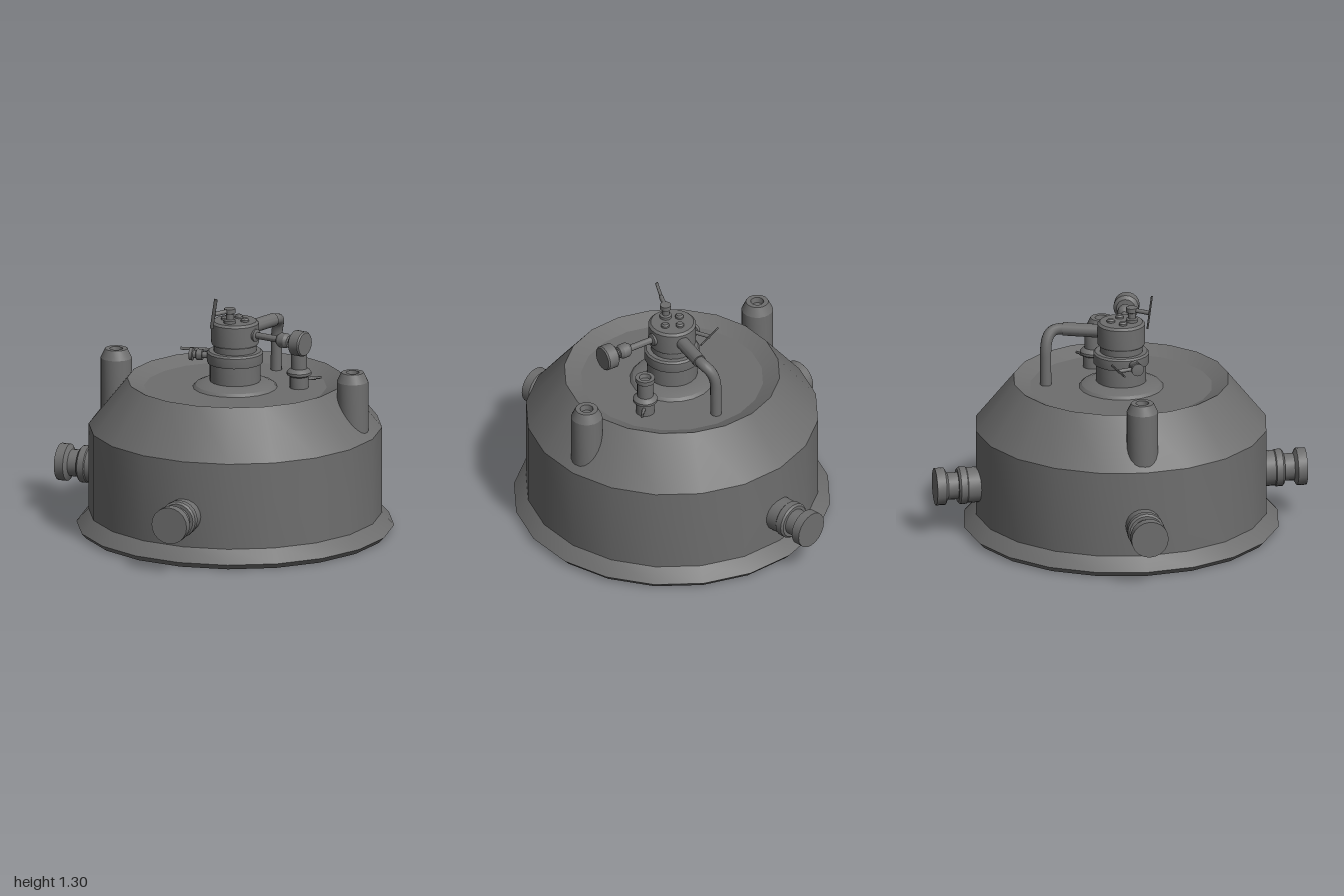
import * as THREE from 'three';
import { toCreasedNormals } from 'three/addons/utils/BufferGeometryUtils.js';

const CX = 0.075, CZ = 0.006; // axis of the vessel
const V = (x, y, z) => new THREE.Vector3(x, y, z);
const UP = V(0, 1, 0);
const material = new THREE.MeshStandardMaterial({ color: 0x6e6e6e });

function add(parent, name, geometry) {
  const mesh = new THREE.Mesh(geometry, material);
  mesh.name = name;
  parent.add(mesh);
  return mesh;
}

// Twenty-sided turned part: [radius, height] pairs from bottom to top
function turnedGeometry(profile) {
  return new THREE.LatheGeometry(profile.map(([r, y]) => new THREE.Vector2(r, y)), 20);
}

function turned(parent, name, profile) {
  return add(parent, name, toCreasedNormals(turnedGeometry(profile), 0.4));
}

// Turned part whose axis runs from a point along a direction
function turnedAlong(parent, name, profile, from, direction) {
  const mesh = turned(parent, name, profile);
  mesh.position.copy(from);
  mesh.quaternion.setFromUnitVectors(UP, direction.clone().normalize());
  return mesh;
}

function rod(parent, name, a, b, radius) {
  const d = b.clone().sub(a), l = d.length();
  return turnedAlong(parent, name, [[0, 0], [radius, 0], [radius, l], [0, l]], a, d);
}

// Rod flattened into a thin bar
function handleBar(parent, name, a, b, width) {
  rod(parent, name, a, b, width).scale.z = 0.5;
}

export function createModel() {
  const model = new THREE.Group();
  model.name = 'pressureVessel';

  // Hollow body with base flange, sloping shoulder and dished top
  turned(model, 'vesselBody', [
    [0.82, 0], [0.848, 0.03], [0.783, 0.1], [0.783, 0.57], [0.577, 0.826], [0.488, 0.785], [0, 0.785],
    [0, 0.76], [0.54, 0.76], [0.74, 0.53], [0.74, 0.215], [0.695, 0.215], [0.695, 0], [0.82, 0],
  ]).position.set(CX, 0, CZ);

  // Three side ports
  const ports = [['frontPort', V(0, 0, 1)], ['backPort', V(0, 0, -1)], ['rightPort', V(-1, 0, 0)]];
  for (const [name, dir] of ports) {
    turnedAlong(model, name, [
      [0, 0.735], [0.095, 0.735], [0.095, 0.83], [0.1, 0.835], [0.1, 0.87], [0.09, 0.88], [0.073, 0.88],
      [0.073, 0.935], [0.1, 0.95], [0.1, 1], [0, 1],
    ], V(CX, 0.27, 0), dir);
  }

  // Two shoulder posts, their feet cut to the slope of the shoulder
  for (const side of [-1, 1]) {
    const post = turnedGeometry([
      [0.084, 0.6], [0.084, 0.88], [0.06, 0.93], [0.035, 0.93], [0.03, 0.9], [0, 0.9]]);
    const p = post.attributes.position;
    for (let i = 0; i < p.count; i++) {
      if (p.getY(i) > 0.65) continue;
      const r = Math.hypot(p.getX(i) + side * 0.674, p.getZ(i));
      p.setY(i, 0.55 + (0.78 - r) * 1.25);
    }
    add(model, side > 0 ? 'leftPost' : 'rightPost', toCreasedNormals(post, 0.4))
      .position.set(CX - 0.004 + side * 0.674, 0, CZ + 0.004);
  }

  // Central column and valve head
  const column = new THREE.Group();
  column.name = 'column';
  column.position.set(0.073, 0, CZ);
  model.add(column);
  turned(column, 'columnCollar', [[0.228, 0.783], [0.212, 0.8], [0.175, 0.815], [0.135, 0.82]]);
  turned(column, 'columnShaft', [[0.135, 0.78], [0.135, 0.925], [0, 0.925]]);
  turned(column, 'columnRing', [
    [0, 0.92], [0.148, 0.92], [0.15, 0.93], [0.15, 0.975], [0.14, 0.985], [0, 0.985]]);
  turned(column, 'columnNeck', [[0.115, 0.98], [0.115, 1.03]]);
  turned(column, 'valveHead', [
    [0, 1.02], [0.122, 1.02], [0.128, 1.03], [0.128, 1.138], [0.115, 1.15], [0, 1.15]]);
  for (const [x, z] of [[-0.056, 0], [0.056, 0], [0, -0.056]]) {
    turned(column, 'headBolt', [[0.022, 1.145], [0.022, 1.16], [0.015, 1.168], [0, 1.168]])
      .position.set(x, 0, z);
  }

  // Upper valve with its bar handle
  const upper = new THREE.Group();
  upper.name = 'upperValve';
  model.add(upper);
  turned(upper, 'upperValveStem', [
    [0.032, 1.145], [0.032, 1.165], [0.02, 1.17], [0.02, 1.2], [0.03, 1.205], [0.03, 1.229], [0, 1.231],
  ]).position.set(0.064, 0, 0.062);
  rod(upper, 'upperValveSpindle', V(0.064, 1.216, 0.062), V(0.008, 1.213, 0.147), 0.012);
  handleBar(upper, 'upperValveHandle', V(-0.012, 1.13, 0.134), V(0.024, 1.302, 0.164), 0.01);

  // Lower side valve on the column ring
  const lower = new THREE.Group();
  lower.name = 'lowerValve';
  model.add(lower);
  turnedAlong(lower, 'lowerValveBody', [
    [0.018, 0], [0.018, 0.05], [0.03, 0.05], [0.03, 0.08], [0.022, 0.085], [0.022, 0.1],
    [0.034, 0.103], [0.034, 0.12], [0, 0.125],
  ], V(-0.045, 0.955, 0.044), V(-1, 0, 0.12));
  rod(lower, 'lowerValveSpindle', V(-0.135, 0.955, 0.054), V(-0.165, 0.955, -0.048), 0.011);
  handleBar(lower, 'lowerValveHandle', V(-0.25, 0.955, -0.028), V(-0.075, 0.955, -0.066), 0.008);

  // Gauge on its arm
  turnedAlong(model, 'gauge', [
    [0, 0.11], [0.034, 0.11], [0.034, 0.14], [0.018, 0.145], [0.018, 0.278], [0.03, 0.284],
    [0.04, 0.3], [0.04, 0.335], [0.03, 0.352], [0.02, 0.356], [0.02, 0.375], [0.05, 0.377],
    [0.068, 0.392], [0.068, 0.448], [0.062, 0.456], [0, 0.456],
  ], V(0.07, 1.087, 0), V(0.97, 0, 0.24));

  // Bent outlet pipe from the head down to the dished top
  const start = V(0.105, 1.087, -0.08), bend = V(0.18, 1.087, -0.29);
  const path = new THREE.CurvePath();
  path.add(new THREE.LineCurve3(start, bend));
  path.add(new THREE.CubicBezierCurve3(
    bend, V(0.205, 1.087, -0.36), V(0.162, 1.06, -0.388), V(0.16, 0.95, -0.388)));
  path.add(new THREE.LineCurve3(V(0.16, 0.95, -0.388), V(0.158, 0.78, -0.388)));
  add(model, 'outletPipe', new THREE.TubeGeometry(path, 40, 0.03, 14, false));
  rod(model, 'outletPipeSleeve', start, bend, 0.036);

  // Relief fitting with small lever
  const fitting = new THREE.Group();
  fitting.name = 'reliefFitting';
  model.add(fitting);
  turned(fitting, 'reliefFittingBody', [
    [0.05, 0.78], [0.05, 0.848], [0.066, 0.858], [0.066, 0.872], [0.055, 0.885], [0.043, 0.892],
    [0.043, 0.975], [0.052, 0.982], [0.052, 1.006], [0.032, 1.006], [0.025, 0.985], [0, 0.985],
  ]).position.set(0.399, 0, -0.097);
  rod(fitting, 'reliefSpindle', V(0.41, 0.83, -0.107), V(0.475, 0.83, -0.147), 0.009);
  rod(fitting, 'reliefLever', V(0.455, 0.832, -0.132), V(0.5, 0.832, -0.166), 0.007);

  return model;
}
